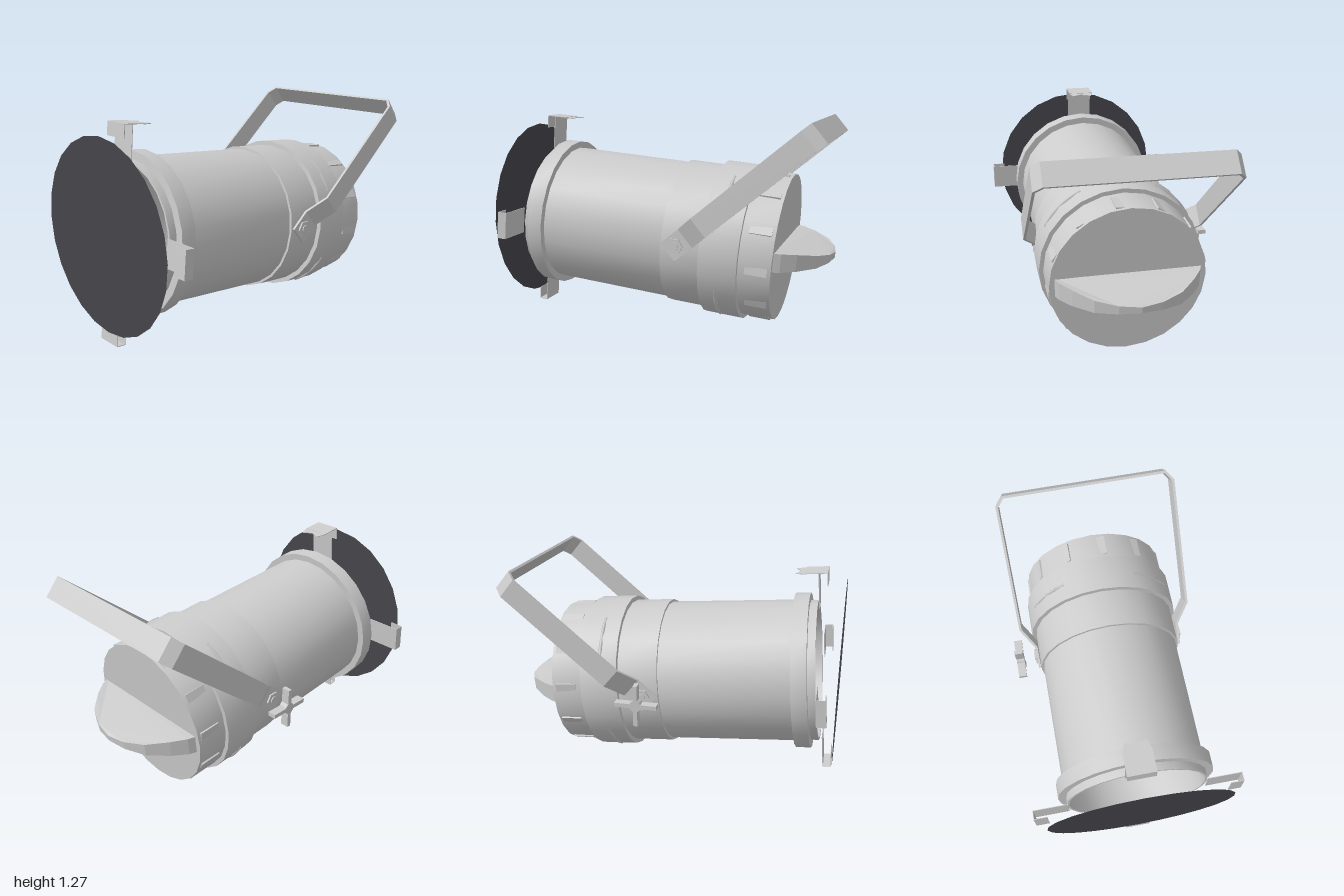
import * as THREE from 'three';
import { toCreasedNormals } from 'three/addons/utils/BufferGeometryUtils.js';

const grey = new THREE.MeshStandardMaterial({ color: 0xcccccc, side: THREE.DoubleSide });
const dark = new THREE.MeshStandardMaterial({ color: 0x45444a, side: THREE.DoubleSide });

function add(parent, name, geometry, material = grey) {
  const mesh = new THREE.Mesh(geometry, material);
  mesh.name = name;
  parent.add(mesh);
  return mesh;
}

const shapeOf = (points) => new THREE.Shape(points.map(([x, y]) => new THREE.Vector2(x, y)));

// Flat plate from an outline, centred on its thickness
function plate(points, depth) {
  return new THREE.ExtrudeGeometry(shapeOf(points), { depth, bevelEnabled: false }).translate(0, 0, -depth / 2);
}

// Stepped can: closed rear, wide rear bands, long tube and front ring
function addBody(can) {
  const profile = [
    [0, -0.69], [0.45, -0.69], [0.455, -0.5], [0.48, -0.5], [0.48, -0.27], [0.452, -0.27],
    [0.452, -0.03], [0.437, -0.03], [0.434, 0.745], [0.475, 0.745], [0.475, 0.836],
    [0.428, 0.836], [0.428, 0.882], [0.415, 0.882], [0.415, 0.7]
  ].map(([r, u]) => new THREE.Vector2(r, u));
  add(can, 'body', toCreasedNormals(new THREE.LatheGeometry(profile, 24).rotateX(Math.PI / 2), 0.6));
}

// Vent louvres around the rear and long slots around the band
function addVents(can) {
  for (let i = 0; i < 12; i++) {
    const vent = new THREE.Group();
    vent.name = 'vent';
    vent.rotation.z = (i / 12) * Math.PI * 2 - 0.13;
    const louvre = add(vent, 'louvre', new THREE.BoxGeometry(0.02, 0.05, 0.13));
    louvre.position.set(0.443, 0, -0.605);
    louvre.rotation.z = 0.2;
    can.add(vent);
  }
  for (let i = 0; i < 4; i++) {
    const arc = new THREE.TorusGeometry(0.475, 0.012, 4, 8, 0.62);
    const slot = add(can, 'bandSlot', arc);
    slot.position.z = -0.375;
    slot.rotation.z = Math.PI / 4 + i * Math.PI / 2 - 0.31;
  }
}

// Tapering rounded lamp cap that sticks out of the rear
function addLampCap(can) {
  const half = [[0.43, 0.66], [0.4, 0.73], [0.34, 0.81], [0.24, 0.91], [0.12, 0.965]];
  const outline = [...half, [0, 0.985], ...half.map(([x, y]) => [-x, y]).reverse()];
  const geometry = plate(outline, 0.11);
  const p = geometry.attributes.position;
  for (let i = 0; i < p.count; i++) {
    const t = THREE.MathUtils.clamp((p.getY(i) - 0.66) / 0.325, 0, 1);
    p.setZ(i, p.getZ(i) * Math.sqrt(1 - 0.9 * t * t));
  }
  geometry.computeVertexNormals();
  const cap = add(can, 'lampCap', geometry);
  cap.rotation.x = -Math.PI / 2;
}

// Four thin hooked clips that hold the filter
function addClips(can) {
  for (let i = 0; i < 4; i++) {
    const clip = new THREE.Group();
    clip.name = 'filterClip';
    clip.rotation.z = i * Math.PI / 2;
    const back = i === 0 ? 0.82 : 0.892;
    add(clip, 'clipPlate', new THREE.BoxGeometry(0.16, 0.21, 0.004)).position.set(0, 0.525, 0.894);
    add(clip, 'clipWall', new THREE.BoxGeometry(0.16, 0.004, 0.947 - back)).position.set(0, 0.628, (0.947 + back) / 2);
    add(clip, 'clipLip', new THREE.BoxGeometry(0.16, 0.08, 0.004)).position.set(0, 0.59, 0.945);
    can.add(clip);
  }
  // Spring latch behind the top clip
  const spring = [[-0.08, -0.82], [0.08, -0.82], [0.06, -0.76], [0, -0.79], [-0.06, -0.76]];
  const latch = add(can, 'springLatch', plate(spring, 0.004));
  latch.rotation.x = -Math.PI / 2;
  latch.position.y = 0.626;
}

// Bent strip yoke: feet on the can, cranked arms, chamfered top corners
function addYoke(model) {
  const outer = [[0.468, 0], [0.468, 0.14], [0.546, 0.27], [0.546, 1.05], [0.5, 1.109]];
  const inner = [[0.453, 0], [0.453, 0.145], [0.531, 0.275], [0.531, 1.043], [0.492, 1.094]];
  const mirror = (list) => list.map(([x, y]) => [-x, y]);
  const outline = [...outer, ...mirror(outer).reverse(), ...mirror(inner), ...inner.slice().reverse()];
  const yoke = add(model, 'yoke', plate(outline, 0.134));
  yoke.position.set(0, 0.51, -0.08);
  yoke.rotation.x = -0.876;
}

// Pivot nuts on both sides and a winged knob on the right
function addPivots(model) {
  for (const side of [1, -1]) {
    const pivot = new THREE.Group();
    pivot.name = 'pivot';
    pivot.position.set(side * 0.468, 0.55, -0.125);
    pivot.rotation.z = -side * Math.PI / 2;
    const nut = new THREE.CylinderGeometry(0.05, 0.05, 0.012, 6).toNonIndexed();
    nut.computeVertexNormals();
    add(pivot, 'nut', nut).position.y = 0.004;
    add(pivot, 'bolt', toCreasedNormals(new THREE.CylinderGeometry(0.025, 0.025, 0.02, 12), 0.6)).position.y = 0.006;
    if (side < 0) {
      add(pivot, 'knobHub', toCreasedNormals(new THREE.CylinderGeometry(0.035, 0.035, 0.05, 12), 0.6)).position.y = 0.11;
      for (let i = 0; i < 2; i++) {
        const wing = add(pivot, 'knobWing', new THREE.BoxGeometry(0.25, 0.05, 0.025));
        wing.position.y = 0.11;
        wing.rotation.y = i * Math.PI / 2;
      }
    }
    model.add(pivot);
  }
}

export function createModel() {
  const model = new THREE.Group();
  model.name = 'stageLight';

  // Can, tilted slightly upward at the front
  const can = new THREE.Group();
  can.name = 'can';
  can.position.y = 0.548;
  can.rotation.x = -0.0905;
  model.add(can);
  addBody(can);
  addVents(can);
  addLampCap(can);
  addClips(can);

  addYoke(model);
  addPivots(model);

  // Dark upright filter disc in front
  add(model, 'filterDisc', new THREE.CircleGeometry(0.565, 24), dark).position.set(0, 0.635, 1);
  return model;
}
